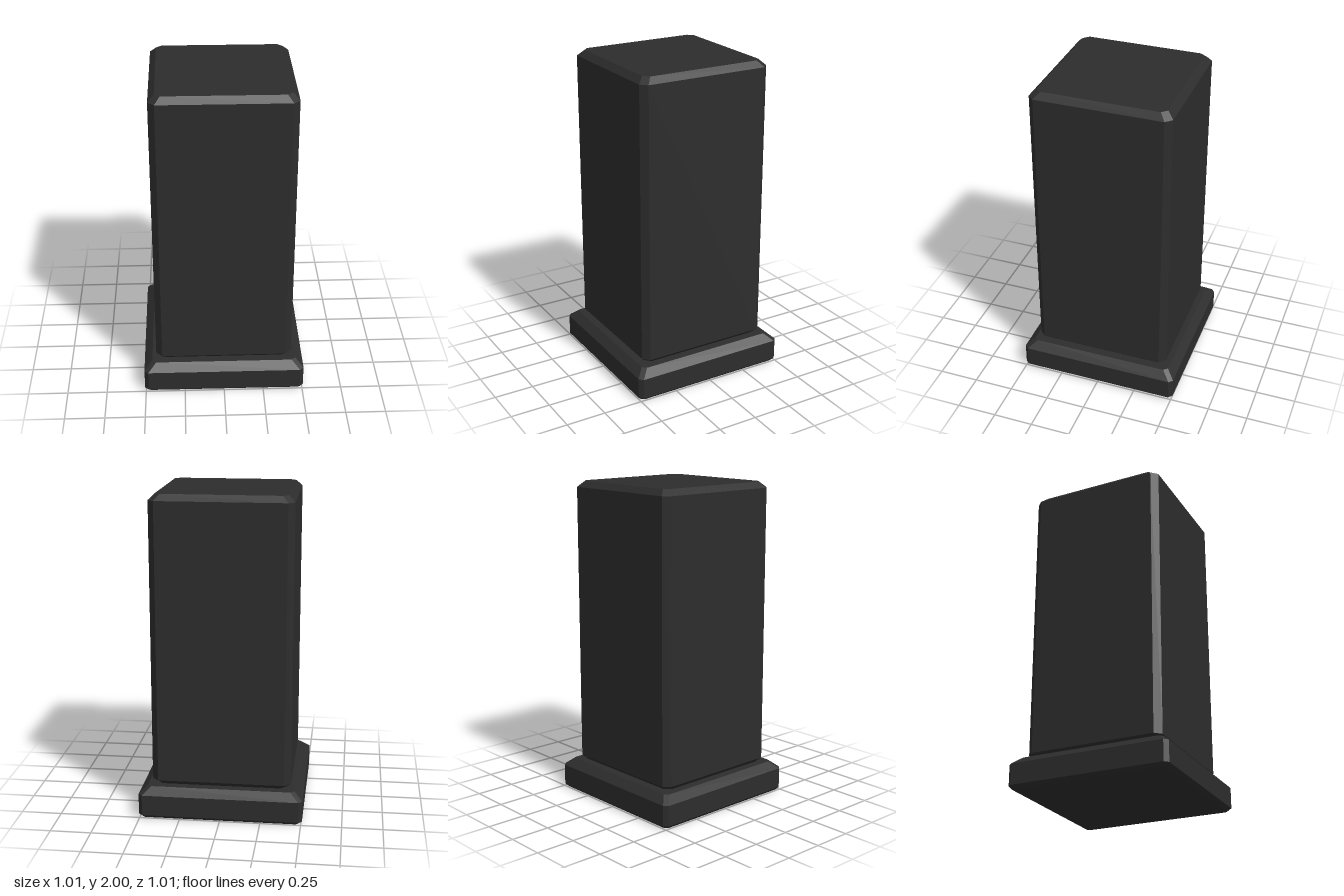
import * as THREE from 'three';

// Stack of chamfered-square rings, each [y, half width, corner cut], closed at both ends.
function chamferedBlock(rings) {
  const loops = rings.map(([y, h, c]) => {
    const k = h - c;
    return [[h, -k], [h, k], [k, h], [-k, h], [-h, k], [-h, -k], [-k, -h], [k, -h]]
      .map(([x, z]) => [x, y, z]);
  });
  const pos = [];
  const tri = (a, b, c) => pos.push(...a, ...b, ...c);
  for (let r = 0; r < loops.length - 1; r++) {
    const lo = loops[r], hi = loops[r + 1];
    for (let i = 0; i < 8; i++) {
      const j = (i + 1) % 8;
      tri(lo[i], hi[i], hi[j]);
      tri(lo[i], hi[j], lo[j]);
    }
  }
  // End caps
  const bottom = loops[0], top = loops[loops.length - 1];
  for (let i = 1; i < 7; i++) {
    tri(bottom[0], bottom[i], bottom[i + 1]);
    tri(top[0], top[i + 1], top[i]);
  }
  const g = new THREE.BufferGeometry();
  g.setAttribute('position', new THREE.Float32BufferAttribute(pos, 3));
  g.computeVertexNormals();
  return g;
}

export function createModel() {
  const group = new THREE.Group();
  group.name = 'pedestal';
  const charcoal = new THREE.MeshStandardMaterial({ color: 0x2d2d2d });
  charcoal.name = 'charcoal';

  const add = (name, rings) => {
    const mesh = new THREE.Mesh(chamferedBlock(rings), charcoal);
    mesh.name = name;
    group.add(mesh);
  };

  // Wide plinth with a broad bevel on top and a fine one below
  add('base', [
    [0, 0.487, 0.018],
    [0.02, 0.507, 0.024],
    [0.15, 0.507, 0.024],
    [0.195, 0.456, 0.024],
  ]);

  // Tall column, bevelled at both ends
  add('column', [
    [0.19, 0.395, 0.033],
    [0.225, 0.431, 0.039],
    [1.963, 0.431, 0.039],
    [2.0, 0.393, 0.033],
  ]);

  return group;
}
